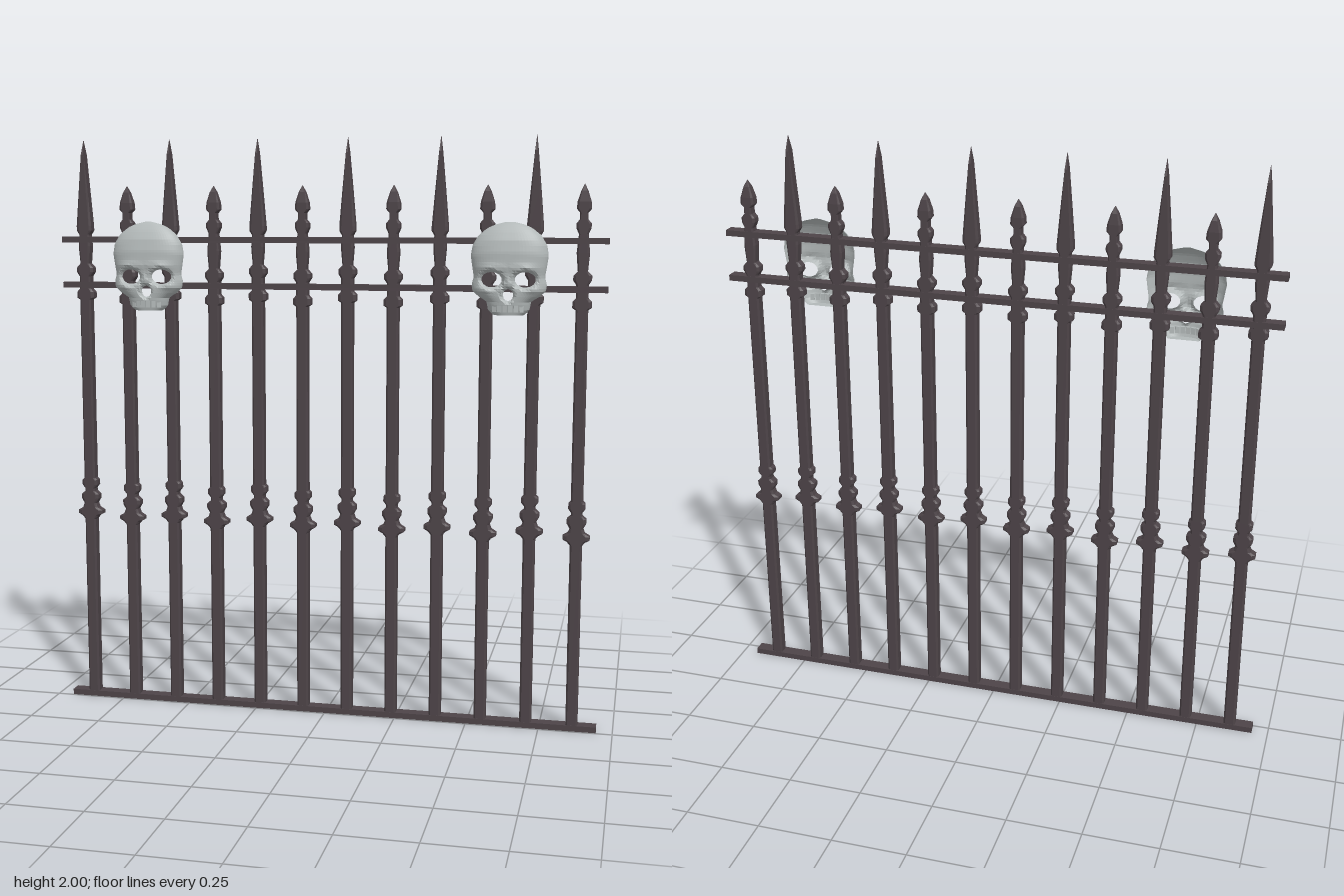
import * as THREE from 'three';

const iron = new THREE.MeshStandardMaterial({ color: 0x4d4448 });
iron.name = 'dark iron';
iron.flatShading = true;
const bone = new THREE.MeshStandardMaterial({ color: 0xb2b8b8, side: THREE.DoubleSide });
bone.name = 'grey bone';
bone.flatShading = true;

const RAIL_Z = -0.025;

// Piecewise-linear lookup in a list of [key, value] pairs with rising keys
function lookup(table, k) {
  for (let i = 1; i < table.length; i++) {
    const [a, va] = table[i - 1], [b, vb] = table[i];
    if (k <= b) return va + (vb - va) * Math.max(0, (k - a) / (b - a));
  }
  return table[table.length - 1][1];
}

function meshFrom(positions, index, material, name) {
  const geo = new THREE.BufferGeometry();
  geo.setAttribute('position', new THREE.Float32BufferAttribute(positions, 3));
  geo.setIndex(index);
  const flat = geo.toNonIndexed();
  flat.computeVertexNormals();
  const mesh = new THREE.Mesh(flat, material);
  mesh.name = name;
  return mesh;
}

// Bar lofted through chamfered rectangles; profile rows are [y, half width, half depth]
function makePicket(profile, name) {
  const pos = [], idx = [], f = 0.7;
  for (const [y, w, d = 0.02] of profile) {
    const ring = [[w, d * f], [w * f, d], [-w * f, d], [-w, d * f],
      [-w, -d * f], [-w * f, -d], [w * f, -d], [w, -d * f]];
    for (const [x, z] of ring) pos.push(x, y, z);
  }
  for (let r = 0; r < profile.length - 1; r++) {
    for (let i = 0; i < 8; i++) {
      const a = r * 8 + i, b = r * 8 + (i + 1) % 8;
      idx.push(a, a + 8, b, b, a + 8, b + 8);
    }
  }
  return meshFrom(pos, idx, iron, name);
}

// Turned collars shared by both kinds of picket, shifted by dy
function shaft(dy) {
  const rows = [[0.66, 0.02], [0.672, 0.03], [0.68, 0.045], [0.692, 0.045], [0.702, 0.028],
    [0.718, 0.022], [0.735, 0.032], [0.75, 0.032], [0.762, 0.018], [0.772, 0.018],
    [0.785, 0.028], [0.802, 0.028], [0.81, 0.02],
    [1.448, 0.02], [1.455, 0.031], [1.475, 0.031], [1.487, 0.02], [1.53, 0.02],
    [1.545, 0.03], [1.56, 0.03], [1.575, 0.016], [1.62, 0.02], [1.635, 0.021]];
  return [[0.005, 0.02], ...rows.map(([y, w]) => [y + dy, w])];
}

const tallProfile = [...shaft(0), [1.675, 0.018], [1.69, 0.027], [1.705, 0.027],
  [1.82, 0.017], [1.95, 0.005], [2.0, 0.0005, 0.0005]];
const shortProfile = [...shaft(-0.015), [1.68, 0.015], [1.70, 0.024], [1.715, 0.024],
  [1.728, 0.013], [1.75, 0.013], [1.762, 0.024], [1.785, 0.022],
  [1.82, 0.011, 0.015], [1.842, 0.0005, 0.0005]];

// Skull half width and front depth by height
const skullWidth = [[1.415, 0.05], [1.43, 0.068], [1.46, 0.074], [1.475, 0.1], [1.495, 0.122],
  [1.515, 0.124], [1.54, 0.117], [1.57, 0.122], [1.61, 0.128], [1.645, 0.122],
  [1.675, 0.104], [1.7, 0.074], [1.713, 0.043], [1.72, 0.012]];
const skullDepth = [[1.415, 0.026], [1.45, 0.034], [1.48, 0.037], [1.51, 0.037], [1.545, 0.041],
  [1.57, 0.045], [1.62, 0.044], [1.66, 0.036], [1.69, 0.022], [1.71, 0.008], [1.72, -0.002]];
// Openings: centre x, centre y, radius x, radius y
const openings = [[-0.055, 1.532, 0.034, 0.025], [0.055, 1.532, 0.034, 0.025],
  [0, 1.482, 0.017, 0.02]];

function makeSkullFace() {
  const cols = 32, rows = 36, back = -0.006;
  const pos = [], idx = [], inside = [];
  const bump = (x, y, cx, cy, rx, ry) =>
    Math.exp(-(((x - cx) / rx) ** 2) - ((y - cy) / ry) ** 2);
  for (let r = 0; r <= rows; r++) {
    // the first row folds the chin back to the fence
    const v = Math.max(0, r - 1) / (rows - 1);
    const y0 = 1.415 + 0.305 * v;
    const w = lookup(skullWidth, y0);
    for (let c = 0; c <= cols; c++) {
      const u = Math.sin((c / cols - 0.5) * Math.PI);
      let x = u * w, y = y0, hole = -1, socket = 0;
      openings.forEach(([cx, cy, rx, ry], k) => {
        const dx = (x - cx) / rx, dy = (y - cy) / ry, d = Math.hypot(dx, dy);
        if (d < 1) {
          // push the point out to the rim of the opening
          hole = k;
          const a = d > 1e-6 ? Math.atan2(dy, dx) : 0;
          x = cx + Math.cos(a) * rx;
          y = cy + Math.sin(a) * ry;
          socket = 1;
        } else if (hole < 0) {
          socket = Math.max(socket, 1 - (d - 1) / 0.35);
        }
      });
      const round = Math.sqrt(Math.max(0, 1 - Math.abs(x / w) ** 2.6));
      let z = back + (lookup(skullDepth, y) - back) * round;
      const ax = Math.abs(x);
      z += 0.006 * bump(ax, y, 0.055, 1.57, 0.04, 0.012) * round; // brow
      z += 0.01 * bump(ax, y, 0.085, 1.498, 0.028, 0.014) * round; // cheekbone
      z += 0.006 * bump(ax, y, 0, 1.52, 0.014, 0.022); // nose bridge
      z -= 0.014 * Math.max(0, socket) * round;
      if (r === 0) z = back;
      pos.push(x, y, Math.min(0.047, Math.max(back, z)));
      inside.push(hole);
    }
  }
  for (let r = 0; r < rows; r++) {
    for (let c = 0; c < cols; c++) {
      const a = r * (cols + 1) + c, b = a + 1, d = a + cols + 1, e = d + 1;
      if (inside[a] >= 0 && [b, d, e].every((i) => inside[i] === inside[a])) continue;
      idx.push(a, b, d, b, e, d);
    }
  }
  return meshFrom(pos, idx, bone, 'skullFace');
}

function makeSkull(x, name) {
  const skull = new THREE.Group();
  skull.name = name;
  skull.add(makeSkullFace());
  // upper teeth along the jaw
  for (let i = 0; i < 6; i++) {
    const t = i - 2.5;
    const tooth = new THREE.Mesh(new THREE.BoxGeometry(0.014, 0.022, 0.01), bone);
    tooth.position.set(t * 0.0175, 1.437, 0.031 - t * t * 0.0016);
    tooth.rotation.y = t * 0.14;
    tooth.name = 'tooth';
    skull.add(tooth);
  }
  skull.position.x = x;
  return skull;
}

export function createModel() {
  const fence = new THREE.Group();
  fence.name = 'fence';

  // Alternating tall and short pickets
  for (let i = 0; i < 12; i++) {
    const tall = i % 2 === 0;
    const picket = makePicket(tall ? tallProfile : shortProfile, tall ? 'tallPicket' : 'shortPicket');
    picket.position.set(-0.865 + i * 0.157, 0, RAIL_Z);
    fence.add(picket);
  }

  // Horizontal rails
  for (const [y, name] of [[0.01, 'bottomRail'], [1.5, 'middleRail'], [1.658, 'topRail']]) {
    const rail = new THREE.Mesh(new THREE.BoxGeometry(1.89, 0.02, 0.042), iron);
    rail.position.set(0, y, RAIL_Z);
    rail.name = name;
    fence.add(rail);
  }

  // Skull ornaments
  fence.add(makeSkull(-0.626, 'rightSkull'), makeSkull(0.624, 'leftSkull'));
  return fence;
}
